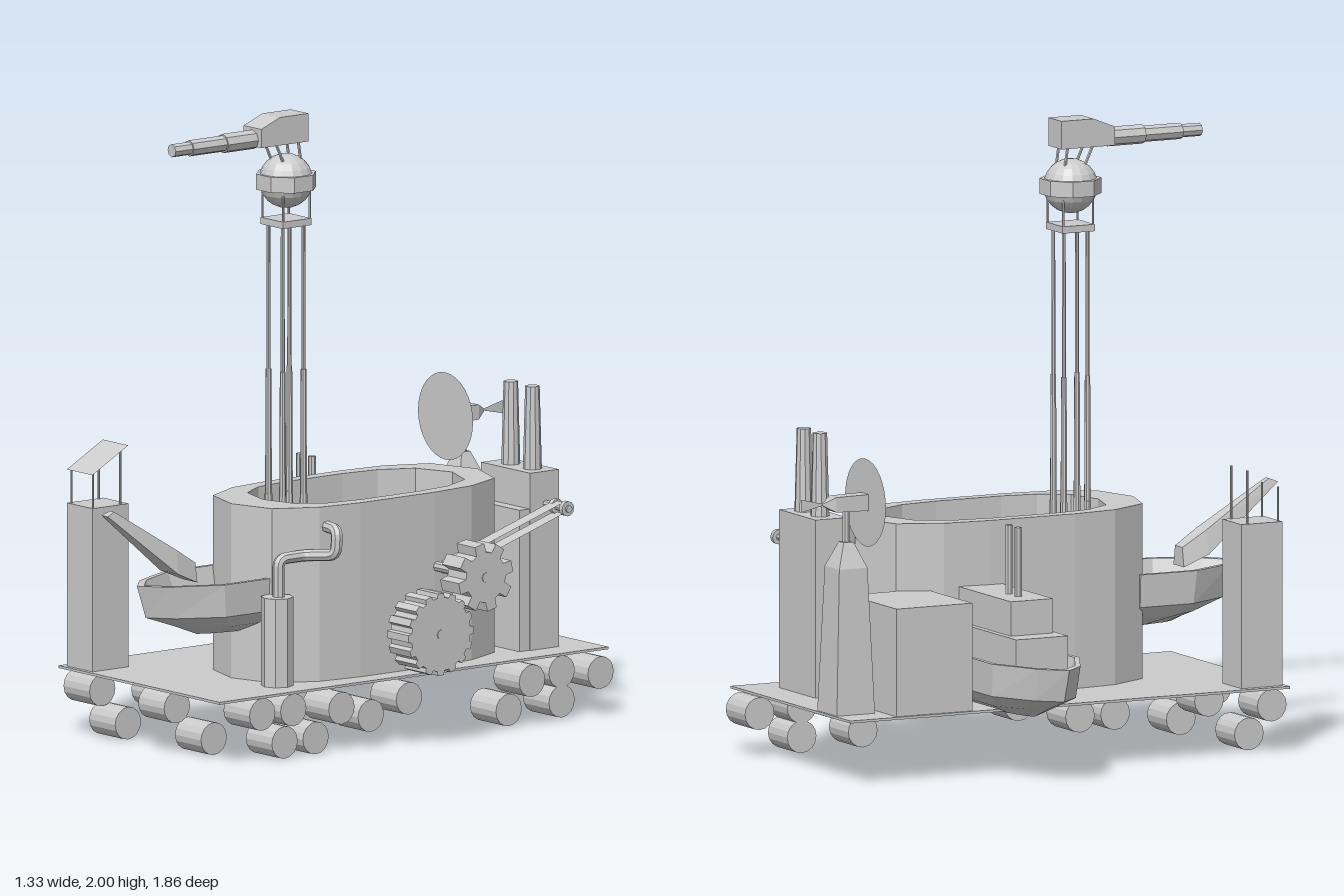
import * as THREE from 'three';

const mat = new THREE.MeshStandardMaterial({ color: 0xcccccc, flatShading: true });
const matDouble = new THREE.MeshStandardMaterial({ color: 0xcccccc, flatShading: true, side: THREE.DoubleSide });

// Skin through closed rings of points, with a fan cap at both ends
function loft(rings) {
  const n = rings[0].length, pos = [], tri = (a, b, c) => pos.push(...a, ...b, ...c);
  for (let r = 0; r < rings.length - 1; r++) {
    const A = rings[r], B = rings[r + 1];
    for (let i = 0; i < n; i++) {
      const j = (i + 1) % n;
      tri(A[i], A[j], B[j]);
      tri(A[i], B[j], B[i]);
    }
  }
  const first = rings[0], last = rings[rings.length - 1];
  for (let i = 1; i < n - 1; i++) {
    tri(first[0], first[i + 1], first[i]);
    tri(last[0], last[i], last[i + 1]);
  }
  const g = new THREE.BufferGeometry();
  g.setAttribute('position', new THREE.Float32BufferAttribute(pos, 3));
  g.computeVertexNormals();
  return g;
}

export function createModel() {
  const root = new THREE.Group();

  function add(name, geo, x = 0, y = 0, z = 0, material = mat) {
    const mesh = new THREE.Mesh(geo, material);
    mesh.name = name;
    mesh.position.set(x, y, z);
    root.add(mesh);
    return mesh;
  }
  // Box from its minimum and maximum corners
  function box(name, x0, x1, y0, y1, z0, z1) {
    return add(name, new THREE.BoxGeometry(x1 - x0, y1 - y0, z1 - z0), (x0 + x1) / 2, (y0 + y1) / 2, (z0 + z1) / 2);
  }
  // Upright tapered post
  function post(name, x, z, y0, y1, r0, r1 = r0, sides = 8) {
    return add(name, new THREE.CylinderGeometry(r1, r0, y1 - y0, sides), x, (y0 + y1) / 2, z);
  }
  // Round bar between two points
  function bar(name, a, b, r, sides = 8) {
    const p = new THREE.Vector3(...a), d = new THREE.Vector3(...b).sub(p);
    const mesh = add(name, new THREE.CylinderGeometry(r, r, d.length(), sides));
    mesh.position.copy(p).addScaledVector(d, 0.5);
    mesh.quaternion.setFromUnitVectors(new THREE.Vector3(0, 1, 0), d.normalize());
    return mesh;
  }

  // Deck
  box('platform', -0.33, 0.49, 0.208, 0.216, -0.84, 0.725);

  // Rollers below the deck: x, y, z
  [[-0.235, 0.155, 0.675], [-0.055, 0.155, 0.545], [0.145, 0.155, 0.675], [0.415, 0.155, 0.545],
    [-0.155, 0.055, 0.635], [0.225, 0.055, 0.59], [0.415, 0.055, 0.455], [0.415, 0.155, 0.42],
    [0.415, 0.055, 0.33], [0.42, 0.14, 0.23], [0.43, 0.105, 0.12], [0.46, 0.15, -0.01],
    [0.46, 0.15, -0.505], [0.43, 0.06, -0.435], [0.415, 0.155, -0.66], [0.415, 0.06, -0.66], [0.44, 0.14, -0.797],
  ].forEach(([x, y, z]) => bar('roller', [x - 0.066, y, z], [x + 0.066, y, z], 0.052, 16));

  // Hollow oblong tub; the inner loop runs the opposite way
  const tubCx = 0.177;
  const loop = (half) => [...half, ...half.slice(1, -1).reverse().map(([x, z]) => [-x, z])]
    .map(([x, z]) => new THREE.Vector2(tubCx + x, -z));
  const tub = new THREE.Shape(loop([[0, -0.56], [0.165, -0.5], [0.225, -0.36], [0.24, -0.2], [0.24, 0.1],
    [0.222, 0.25], [0.15, 0.385], [0, 0.43]]));
  tub.holes.push(new THREE.Path(loop([[0, -0.46], [0.125, -0.41], [0.18, -0.3], [0.195, -0.17], [0.195, 0.06],
    [0.178, 0.18], [0.12, 0.27], [0, 0.305]]).reverse()));
  add('tub', new THREE.ExtrudeGeometry(tub, { depth: 0.56, bevelEnabled: false }), 0, 0.215).rotation.x = -Math.PI / 2;

  // Boat hull with bow at the origin pointing +z and a recessed deck
  function hull(name, length) {
    const ring = (y, bow, k, shoulder) => [[-0.155, -length], [-0.155, shoulder], [-0.075, shoulder * 0.3 + bow * 0.7],
      [0, bow], [0.075, shoulder * 0.3 + bow * 0.7], [0.155, shoulder], [0.155, -length]].map(([x, z]) => [x * k, y, z]);
    return add(name, loft([
      ring(0, -0.24, 0.25, -0.36), ring(0.035, -0.15, 0.75, -0.29), ring(0.075, -0.035, 0.97, -0.24),
      ring(0.18, 0, 1, -0.23), ring(0.18, -0.03, 0.9, -0.235), ring(0.09, -0.08, 0.74, -0.25)]));
  }
  hull('frontBoat', 0.43).position.set(0.165, 0.37, 0.8);
  const sideBoat = hull('sideBoat', 0.62);
  sideBoat.position.set(-0.667, 0.2, -0.235);
  sideBoat.rotation.y = -Math.PI / 2;
  box('lowerCabin', -0.485, -0.05, 0.28, 0.46, -0.33, -0.145);
  box('upperCabin', -0.41, -0.05, 0.46, 0.57, -0.31, -0.16);
  for (const x of [-0.315, -0.253]) post('boatFunnel', x, -0.235, 0.57, 0.79, 0.012);

  // Tapered blade rising from the front boat
  const blade = (w, yl, zl, yu, zu) => [[-w, yl, zl], [w, yl, zl], [w * 0.7, yu, zu], [-w * 0.7, yu, zu]];
  add('bowBlade', loft([blade(0.036, 0.543, 0.585, 0.605, 0.585), blade(0.046, 0.58, 0.67, 0.655, 0.665),
    blade(0.016, 0.79, 0.93, 0.802, 0.9)]), 0.165);

  // Watchtower with slanted one-sided roof
  box('watchtower', -0.305, -0.175, 0.215, 0.74, 0.565, 0.71);
  for (const x of [-0.295, -0.185]) {
    post('roofPost', x, 0.7, 0.74, 0.85, 0.004, 0.004, 6);
    post('roofPost', x, 0.59, 0.74, 0.91, 0.004, 0.004, 6);
  }
  const roof = add('towerRoof', new THREE.PlaneGeometry(0.13, 0.165), -0.24, 0.887, 0.638);
  roof.rotation.x = -Math.PI / 2 + Math.atan2(0.08, 0.145);

  // Shed and stepped chimney house
  box('shed', -0.32, 0.01, 0.215, 0.56, -0.67, -0.4);
  box('chimneyHouse', 0.14, 0.39, 0.215, 0.785, -0.72, -0.605);
  box('chimneyStep', 0.145, 0.385, 0.215, 0.67, -0.605, -0.565);
  for (const x of [0.215, 0.325]) post('chimney', x, -0.665, 0.785, 1.05, 0.03, 0.023, 10);

  // Dish on a four-sided pedestal, with pointed rear body and fin
  const four = (name, y0, y1, w0, w1) => {
    post(name, -0.157, -0.765, y0, y1, w0 * Math.SQRT1_2, w1 * Math.SQRT1_2, 4).rotation.y = Math.PI / 4;
  };
  four('dishPedestal', 0.215, 0.68, 0.135, 0.1);
  four('pedestalPeak', 0.68, 0.76, 0.1, 0.035);
  post('dishPole', -0.157, -0.765, 0.75, 0.87, 0.012);
  add('dish', new THREE.CircleGeometry(0.14, 32), -0.155, 0.88, -0.695, matDouble);
  const sq = (w, z) => [[-w, -w, z], [w, -w, z], [w, w, z], [-w, w, z]];
  add('dishBody', loft([sq(0.002, -0.85), sq(0.024, -0.81), sq(0.026, -0.697)]), -0.155, 0.883);
  const fin = new THREE.Shape([new THREE.Vector2(0, 0), new THREE.Vector2(0.09, -0.02), new THREE.Vector2(0.09, 0.022)]);
  add('dishFin', new THREE.ShapeGeometry(fin), -0.155, 0.883, -0.835, matDouble).rotation.y = Math.PI / 2;

  // Gears on shafts
  function gear(name, teeth, r, rootR, phase, x, y, z, depth) {
    const pts = [], step = Math.PI * 2 / teeth;
    for (let i = 0; i < teeth; i++) {
      [[-0.32, rootR], [-0.22, r], [0.22, r], [0.32, rootR]].forEach(([f, q]) => {
        const a = (i + f + phase) * step;
        pts.push(new THREE.Vector2(Math.cos(a) * q, Math.sin(a) * q));
      });
    }
    const g = new THREE.ExtrudeGeometry(new THREE.Shape(pts), { depth, bevelEnabled: false });
    add(name, g, x, y, z).rotation.y = Math.PI / 2;
    bar(name + 'Shaft', [0.38, y, z], [x + depth + 0.003, y, z], 0.016);
  }
  gear('upperGear', 8, 0.11, 0.08, 0.3, 0.57, 0.535, -0.21, 0.094);
  gear('lowerGear', 16, 0.132, 0.118, 0, 0.536, 0.368, -0.045, 0.108);

  // Pulley and flat drive belt
  bar('pulleyBar', [0.38, 0.68, -0.668], [0.51, 0.68, -0.668], 0.012);
  for (const x of [0.44, 0.495]) bar('pulley', [x - 0.008, 0.68, -0.668], [x + 0.008, 0.68, -0.668], 0.024, 12);
  for (const s of [-1, 1]) {
    const belt = add('belt', new THREE.PlaneGeometry(0.05, Math.hypot(0.458, 0.145)),
      0.457, 0.6075 + s * 0.018, -0.439, matDouble);
    belt.rotation.x = -Math.PI / 2 + Math.atan2(0.145, 0.458);
  }

  // Side boiler and bent pipe
  post('boiler', 0.367, 0.395, 0.215, 0.5, 0.052, 0.052, 8);
  const path = new THREE.CurvePath();
  const pts = [[0.37, 0.49, 0.392], [0.37, 0.62, 0.392], [0.375, 0.622, 0.29], [0.47, 0.63, 0.24],
    [0.47, 0.71, 0.235], [0.39, 0.71, 0.22]].map((p) => new THREE.Vector3(...p));
  const toward = (p, q) => q.clone().sub(p).setLength(0.027).add(p);
  let from = pts[0];
  for (let i = 1; i < pts.length - 1; i++) {
    const a = toward(pts[i], pts[i - 1]), b = toward(pts[i], pts[i + 1]);
    path.add(new THREE.LineCurve3(from, a));
    path.add(new THREE.QuadraticBezierCurve3(a, pts[i], b));
    from = b;
  }
  path.add(new THREE.LineCurve3(from, pts[pts.length - 1]));
  add('bentPipe', new THREE.TubeGeometry(path, 48, 0.019, 8, false));

  // Mast: four stepped poles, plate, caged ball and turret
  const mx = 0.165, mz = 0.2;
  for (const sx of [-1, 1]) {
    for (const sz of [-1, 1]) {
      const x = mx + sx * 0.036, z = mz + sz * 0.042;
      post('mastLower', x, z, 0.215, 0.78, 0.013, 0.012);
      post('mastMiddle', x, z, 0.78, 1.18, 0.011, 0.009);
      post('mastUpper', x, z, 1.18, 1.65, 0.007, 0.006);
      post('cagePost', mx + sx * 0.053, mz + sz * 0.053, 1.66, 1.78, 0.004, 0.004, 6);
      bar('turretStrut', [mx + sx * 0.03, 1.85, mz + sz * 0.035], [mx + sx * 0.03, 1.915, mz + (sz > 0 ? 0.065 : -0.025)], 0.005, 6);
    }
  }
  box('mastPlate', mx - 0.057, mx + 0.057, 1.643, 1.665, mz - 0.057, mz + 0.057);
  add('ball', new THREE.SphereGeometry(0.087, 16, 12), mx, 1.785, mz);
  post('ballBand', mx, mz, 1.76, 1.81, 0.098, 0.098, 8).rotation.y = Math.PI / 8;
  const head = new THREE.Shape([[0.145, 1.91], [0.335, 1.91], [0.335, 1.97], [0.26, 2], [0.145, 2]]
    .map(([z, y]) => new THREE.Vector2(-z, y)));
  add('turret', new THREE.ExtrudeGeometry(head, { depth: 0.09, bevelEnabled: false }), mx - 0.045).rotation.y = Math.PI / 2;
  [[0.33, 0.455, 0.031], [0.455, 0.59, 0.026], [0.59, 0.66, 0.021]]
    .forEach(([z0, z1, r]) => bar('barrel', [mx, 1.932, z0], [mx, 1.932, z1], r, 8));

  return root;
}
